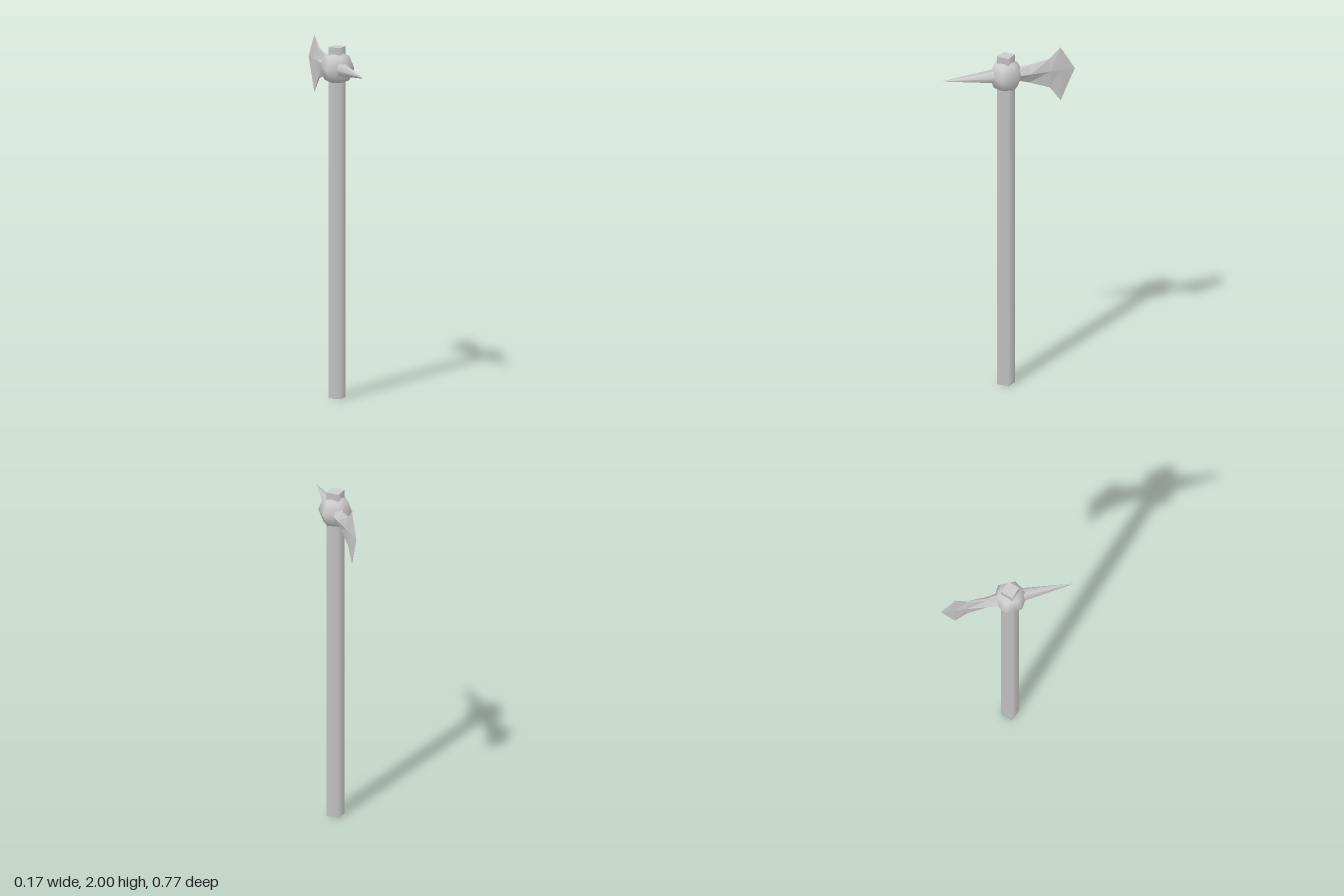
import * as THREE from 'three';

const AXIS_Z = 0.012; // centre line of the shaft
const HEAD_Y = 1.866; // height of spike and blade

// Closed skin over hexagonal rings that run towards -z and end in a point
function hexLoft(rings, tip) {
  const corners = rings.map(([z, mid, edge, top, bottom]) => [
    [mid, HEAD_Y, z], [edge, top, z], [-edge, top, z],
    [-mid, HEAD_Y, z], [-edge, bottom, z], [edge, bottom, z],
  ]);
  const pos = [];
  for (let r = 0; r < corners.length; r++) {
    const a = corners[r], b = corners[r + 1];
    for (let i = 0; i < 6; i++) {
      const j = (i + 1) % 6;
      if (b) pos.push(...a[i], ...b[i], ...b[j], ...a[i], ...b[j], ...a[j]);
      else pos.push(...a[i], ...tip, ...a[j]);
    }
  }
  const geo = new THREE.BufferGeometry();
  geo.setAttribute('position', new THREE.Float32BufferAttribute(pos, 3));
  geo.computeVertexNormals();
  return geo;
}

export function createModel() {
  const group = new THREE.Group();
  const smooth = new THREE.MeshStandardMaterial({ color: 0xcccccc });
  const flat = new THREE.MeshStandardMaterial({ color: 0xcccccc, flatShading: true, side: THREE.DoubleSide });
  const add = (name, geo, mat) => {
    const mesh = new THREE.Mesh(geo, mat);
    mesh.name = name;
    group.add(mesh);
  };

  // Four-sided shaft, corners towards x and z
  const shaft = new THREE.CylinderGeometry(0.052, 0.052, 1.985, 4);
  add('shaft', shaft.translate(0, 0.9925, AXIS_Z), smooth);

  // Faceted hub with corners to the front and back
  const hub = new THREE.SphereGeometry(0.098, 6, 4).rotateY(Math.PI / 2);
  add('hub', hub.translate(0, HEAD_Y, AXIS_Z), smooth);

  // Six-sided spike pointing forward
  const spikeLength = 0.365;
  const spike = new THREE.ConeGeometry(0.047, spikeLength, 6, 1, true);
  spike.rotateY(Math.PI / 6).rotateX(Math.PI / 2);
  add('spike', spike.translate(0, HEAD_Y, 0.384 - spikeLength / 2), smooth);

  // Flaring axe blade: [z, half width at middle, half width at edge, top, bottom]
  const blade = hexLoft([
    [0, 0.043, 0.022, 1.897, 1.838],
    [-0.065, 0.037, 0.019, 1.9, 1.83],
    [-0.12, 0.03, 0.007, 1.911, 1.81],
    [-0.238, 0.015, 0.004, 1.938, 1.766],
    [-0.302, 0.009, 0.001, 2.0, 1.68],
  ], [0, HEAD_Y, -0.384]);
  add('blade', blade, flat);

  return group;
}
